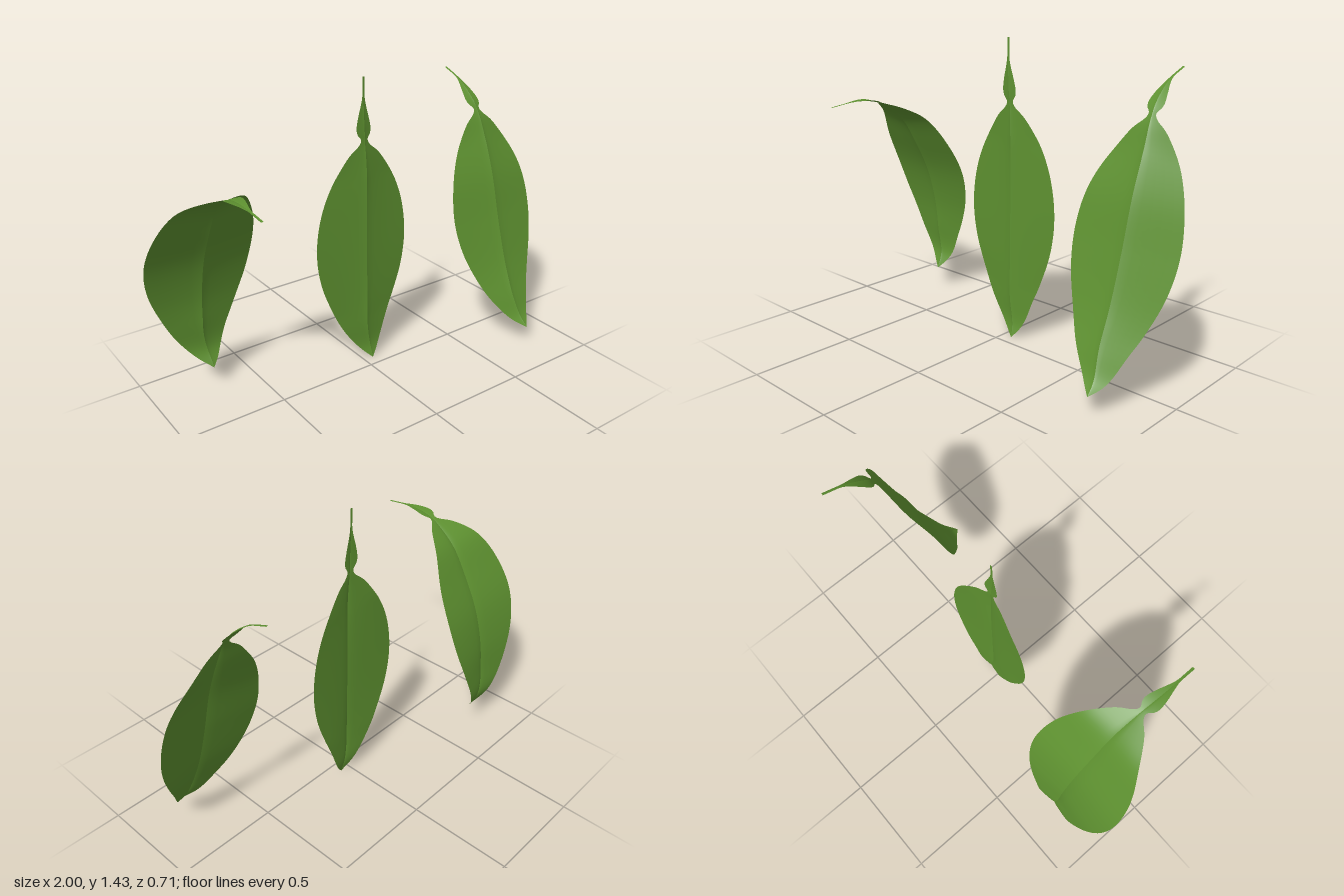
import * as THREE from 'three';

const LENGTH = 1.43;
const leafGreen = new THREE.MeshStandardMaterial({ color: 0x5e9130, side: THREE.DoubleSide });
leafGreen.name = 'leaf green';

// Outline shared by all leaves: half width, distance from the stem end
const outline = new THREE.SplineCurve([
  [0.006, 0], [0.006, 0.05], [0.007, 0.095], [0.017, 0.14], [0.028, 0.18], [0.038, 0.23],
  [0.034, 0.26], [0.018, 0.287], [0.032, 0.315], [0.092, 0.37], [0.18, 0.5], [0.234, 0.64],
  [0.255, 0.8], [0.236, 0.96], [0.18, 1.12], [0.105, 1.28], [0.05, 1.37], [0, LENGTH],
].map(([w, s]) => new THREE.Vector2(w, s))).getPoints(102);

const COLUMNS = [0, 0.08, 0.2, 0.4, 0.6, 0.8, 1];
const { smoothstep } = THREE.MathUtils;

// One half of a leaf, swept along its midrib; the halves meet in a sharp fold
function halfLeaf(curve, side) {
  const positions = [], index = [], n = COLUMNS.length;
  for (const row of outline) {
    const t = THREE.MathUtils.clamp(row.y / LENGTH, 0, 1);
    const p = curve.getPointAt(t), d = curve.getTangentAt(t);
    const w = Math.max(row.x, 0);
    const fold = 0.026 * Math.min(1, w / 0.16);
    const ribX = 0.017 * smoothstep(row.y, 0.1, 0.5) + 0.023 * smoothstep(row.y, 1.2, LENGTH);
    for (const u of COLUMNS) {
      // The blade falls back from the midrib, steepest beside it
      const lift = fold * (0.4 - Math.pow(u, 0.65));
      positions.push(ribX + side * u * w * (1 - side * 0.04), p.y + d.z * lift, p.z - d.y * lift);
    }
  }
  for (let i = 0; i < outline.length - 1; i++) {
    for (let j = 0; j < n - 1; j++) {
      const a = i * n + j, b = a + 1, c = a + n, e = c + 1;
      if (side > 0) index.push(a, c, b, b, c, e);
      else index.push(a, b, c, b, e, c);
    }
  }
  const geometry = new THREE.BufferGeometry();
  geometry.setAttribute('position', new THREE.Float32BufferAttribute(positions, 3));
  geometry.setIndex(index);
  geometry.computeVertexNormals();
  return geometry;
}

// Midrib paths from stem to tip, as [y, z]
const LEAVES = [
  { name: 'leftArchedLeaf', x: 0.735, path: [[1.33, -0.355], [1.285, -0.25], [1.2, -0.15], [1.14, -0.11],
    [1.03, -0.07], [0.84, 0], [0.62, 0.06], [0.4, 0.13], [0.24, 0.2], [0.14, 0.25], [0.09, 0.3]] },
  { name: 'middleStraightLeaf', x: 0.01, path: [[1.43, -0.07], [1.2, -0.072], [0.9, -0.08], [0.5, -0.08],
    [0.2, -0.077], [0.07, -0.073], [0, -0.054]] },
  { name: 'rightDroopingLeaf', x: -0.75, path: [[1.08, 0.355], [1.095, 0.2], [1.085, 0.1], [1.04, 0],
    [0.98, -0.08], [0.84, -0.17], [0.68, -0.25], [0.5, -0.3], [0.35, -0.318], [0.2, -0.322], [0.11, -0.28]] },
];

export function createModel() {
  const model = new THREE.Group();
  model.name = 'leaves';
  for (const { name, x, path } of LEAVES) {
    const curve = new THREE.CatmullRomCurve3(path.map(([y, z]) => new THREE.Vector3(0, y, z)));
    const leaf = new THREE.Group();
    leaf.name = name;
    leaf.position.x = x;
    for (const side of [1, -1]) {
      const half = new THREE.Mesh(halfLeaf(curve, side), leafGreen);
      half.name = side > 0 ? 'leftHalf' : 'rightHalf';
      leaf.add(half);
    }
    model.add(leaf);
  }
  return model;
}
